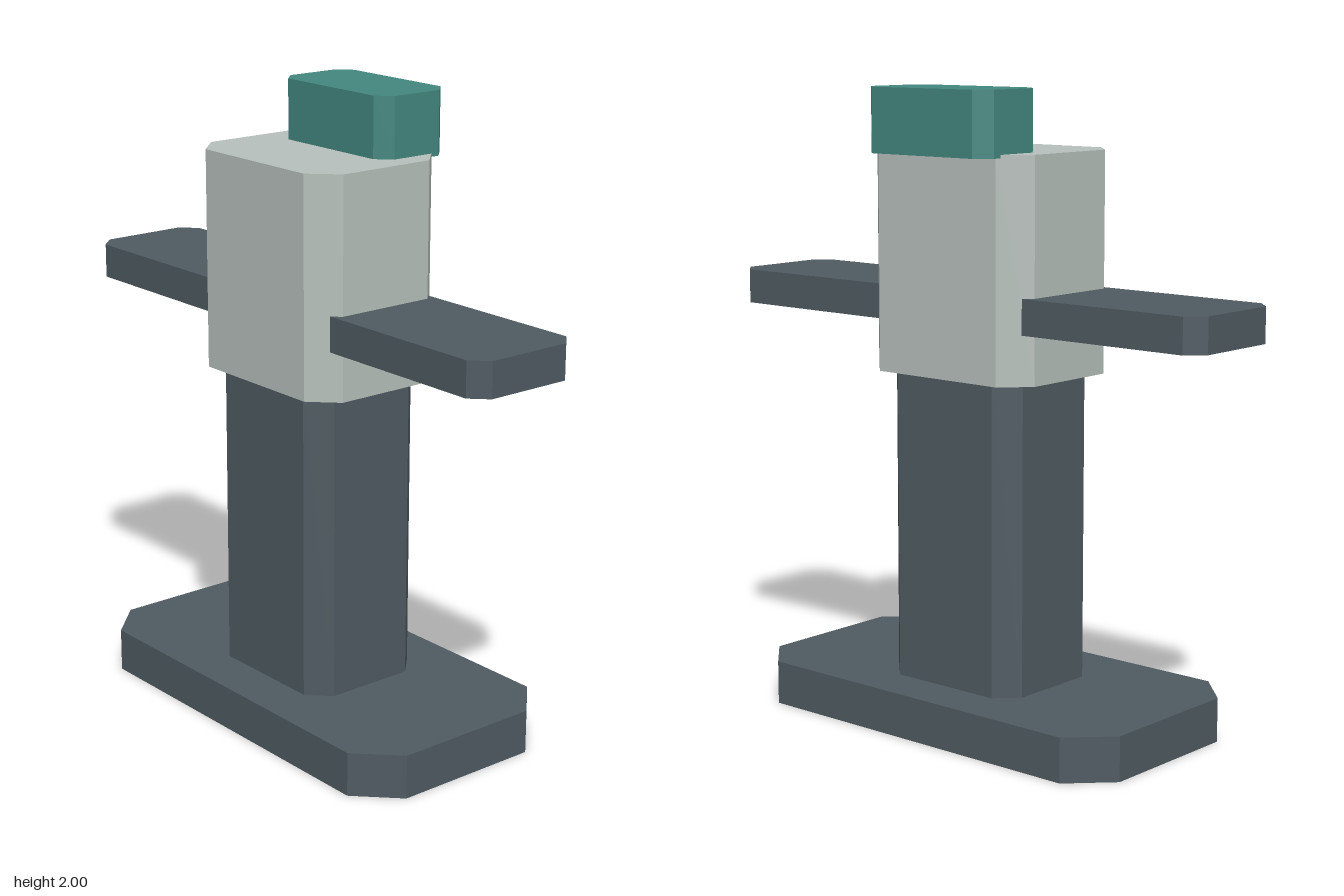
import * as THREE from 'three';

const paint = (name, color) => {
  const m = new THREE.MeshStandardMaterial({ color });
  m.name = name;
  return m;
};

// Upright block with its four vertical corners cut at 45 degrees.
function block(name, material, halfX, halfZ, cut, y0, y1, x = 0) {
  const a = halfX - cut, b = halfZ - cut;
  const outline = [
    [halfX, -b], [halfX, b], [a, halfZ], [-a, halfZ],
    [-halfX, b], [-halfX, -b], [-a, -halfZ], [a, -halfZ],
  ].map(([px, py]) => new THREE.Vector2(px, py));
  const geometry = new THREE.ExtrudeGeometry(new THREE.Shape(outline), {
    depth: y1 - y0,
    bevelEnabled: false,
  });
  geometry.rotateX(-Math.PI / 2);
  const mesh = new THREE.Mesh(geometry, material);
  mesh.name = name;
  mesh.position.set(x, y0, 0);
  return mesh;
}

export function createModel() {
  const slate = paint('dark slate', 0x4f5b62);
  const grey = paint('pale grey', 0xb7c0bc);
  const teal = paint('teal', 0x43877f);

  const model = new THREE.Group();
  model.name = 'pedestalStand';
  model.add(
    // Foot and post
    block('base', slate, 0.37, 0.717, 0.125, 0, 0.14),
    block('column', slate, 0.215, 0.26, 0.067, 0.14, 1.12),
    // Housing with a bar running through it from front to back
    block('housing', grey, 0.248, 0.32, 0.082, 1.12, 1.81),
    block('crossArm', slate, 0.193, 0.934, 0.051, 1.275, 1.385),
    // Offset cap, sunk slightly into the housing
    block('cap', teal, 0.133, 0.248, 0.045, 1.8, 2, 0.179),
  );
  return model;
}
